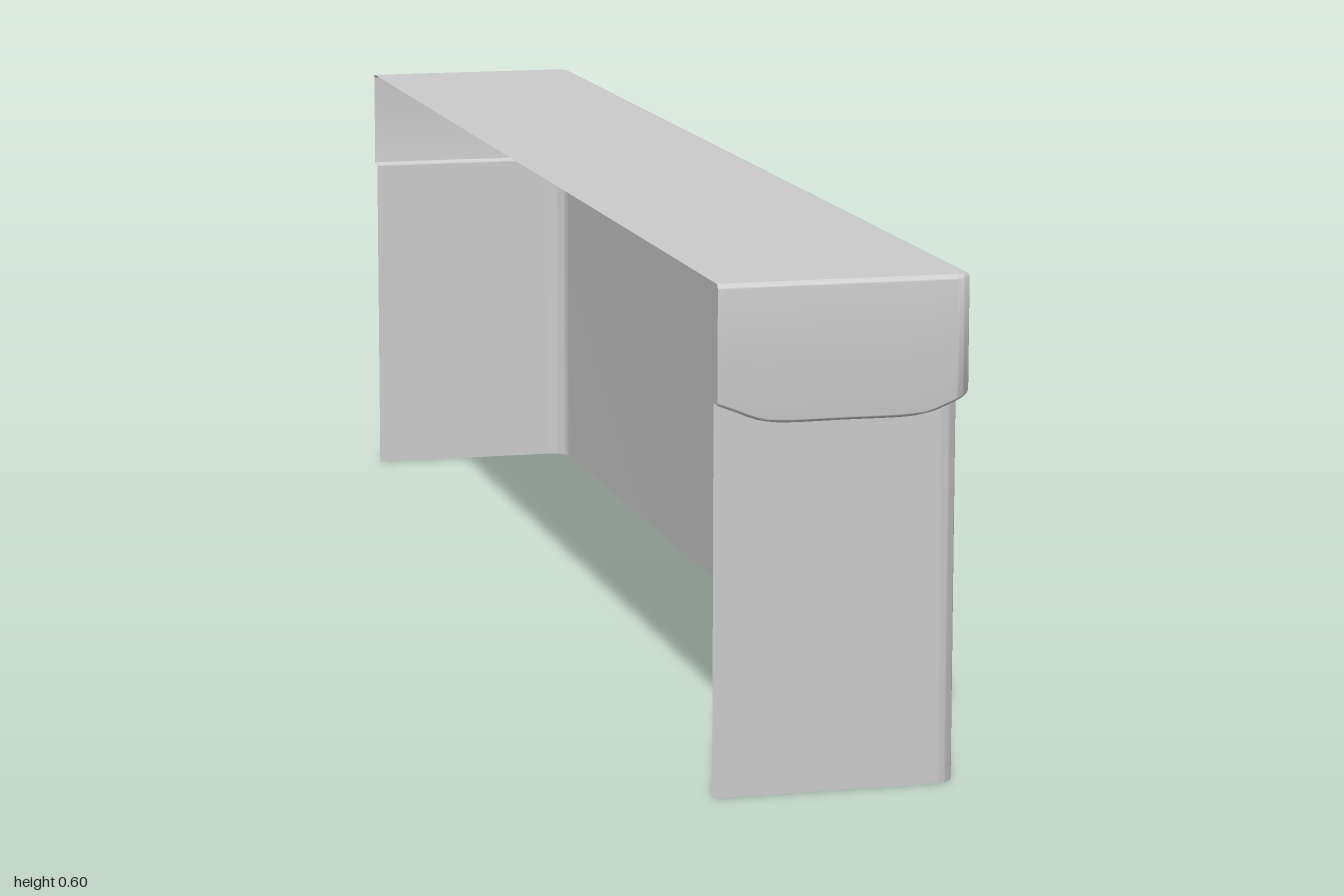
import * as THREE from 'three';
import { toCreasedNormals } from 'three/addons/utils/BufferGeometryUtils.js';

const LEFT = -0.15, TOP = 0.597;

// Plan outline: front end, rounded corner, long side, rounded corner, back end.
function outline(xMax, zMax, r) {
  const half = [];
  const n = 24, arc = 8;
  for (let i = 0; i < n; i++) half.push([LEFT + (xMax - r - LEFT) * i / n, zMax]);
  for (let i = 0; i <= arc; i++) {
    const a = (i / arc) * Math.PI / 2;
    half.push([xMax - r + r * Math.sin(a), zMax - r + r * Math.cos(a)]);
  }
  return [...half, ...half.slice().reverse().map(([x, z]) => [x, -z])];
}

// Height of the lid's lower edge: dips across the front end, level elsewhere.
const dip = new THREE.CatmullRomCurve3(
  [[0, 0.436], [0.07, 0.436], [0.088, 0.4375], [0.105, 0.441], [0.125, 0.449], [0.15, 0.459]]
    .map(([x, y]) => new THREE.Vector3(x, y, 0))).getPoints(60);
function lipHeight([x, z]) {
  if (z < 0.9) return 0.459;
  const ax = Math.min(Math.abs(x), 0.1499);
  const i = Math.max(1, dip.findIndex(p => p.x >= ax));
  const a = dip[i - 1], b = dip[i];
  return THREE.MathUtils.mapLinear(ax, a.x, b.x, a.y, b.y);
}

const lipLine = outline(0.15, 1, 0.02).map(lipHeight);

// Skin a sheet over a stack of rings; each ring is an outline and a height rule.
function loft(rings) {
  const pos = [], idx = [], n = rings[0].line.length;
  rings.forEach(({ line, y }) => line.forEach(([x, z], i) => pos.push(x, y(i), z)));
  for (let j = 0; j < rings.length - 1; j++)
    for (let i = 0; i < n - 1; i++) {
      const a = j * n + i, b = a + 1, c = b + n, d = a + n;
      idx.push(a, b, c, a, c, d);
    }
  const g = new THREE.BufferGeometry();
  g.setAttribute('position', new THREE.Float32BufferAttribute(pos, 3));
  g.setIndex(idx);
  return toCreasedNormals(g, 0.7);
}

export function createModel() {
  const group = new THREE.Group();
  const material = new THREE.MeshStandardMaterial({ color: 0xcccccc, side: THREE.DoubleSide });
  const add = (name, geometry) => {
    const mesh = new THREE.Mesh(geometry, material);
    mesh.name = name;
    group.add(mesh);
  };

  // Thin lower walls, open below and on the -x side
  const bodyLine = outline(0.142, 0.983, 0.025);
  add('bodyWalls', loft([
    { line: bodyLine, y: () => 0 },
    { line: bodyLine, y: i => lipLine[i] },
  ]));

  // Overhanging rim: step out from the body, rounded lower edge, rounded top edge
  const steps = 5, rLow = 0.004, rTop = 0.006;
  const rim = [{ line: bodyLine, y: i => lipLine[i] }];
  for (let k = 0; k <= steps; k++) {
    const a = (k / steps) * Math.PI / 2, inset = rLow * (1 - Math.sin(a));
    rim.push({
      line: outline(0.15 - inset, 1 - inset, 0.02 - inset),
      y: i => lipLine[i] + rLow * (1 - Math.cos(a)),
    });
  }
  for (let k = 0; k <= steps; k++) {
    const a = (k / steps) * Math.PI / 2, inset = rTop * (1 - Math.cos(a));
    rim.push({
      line: outline(0.15 - inset, 1 - inset, 0.02 - inset),
      y: () => TOP - rTop * (1 - Math.sin(a)),
    });
  }
  add('lidRim', loft(rim));

  // Flat lid top
  const shape = new THREE.Shape(rim.at(-1).line.map(([x, z]) => new THREE.Vector2(x, -z)));
  add('lidTop', new THREE.ShapeGeometry(shape).rotateX(-Math.PI / 2).translate(0, TOP, 0));

  return group;
}
